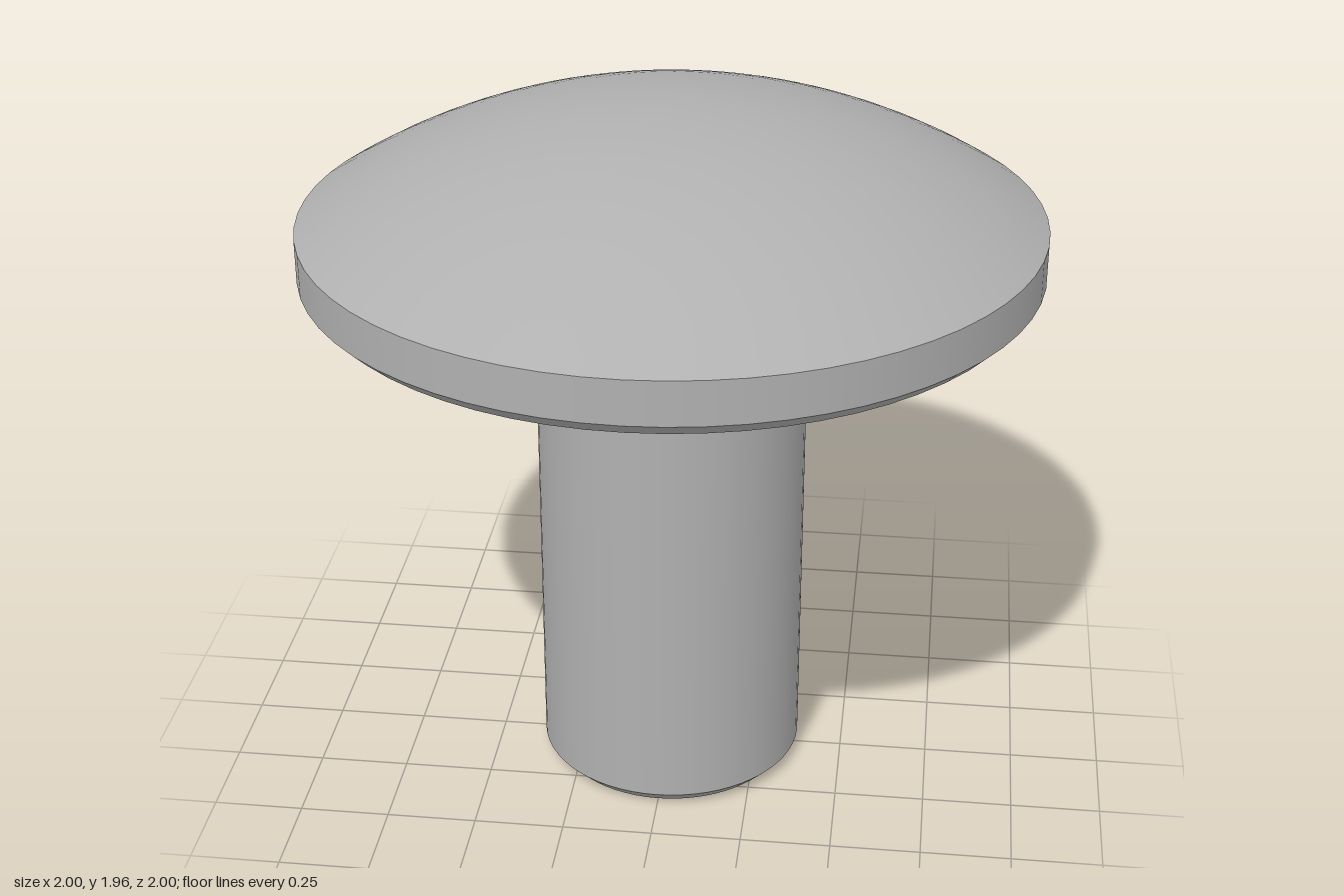
import * as THREE from 'three';

const SEGMENTS = 64;

export function createModel() {
  const group = new THREE.Group();
  const steel = new THREE.MeshStandardMaterial({ color: 0xb0b0b0 });
  steel.name = 'greySteel';

  const add = (name, geometry) => {
    const mesh = new THREE.Mesh(geometry, steel);
    mesh.name = name;
    group.add(mesh);
    return mesh;
  };
  // Each band is its own lathe, so the edges between bands stay sharp
  const band = (name, points) =>
    add(name, new THREE.LatheGeometry(points.map(([r, y]) => new THREE.Vector2(r, y)), SEGMENTS));

  // Shank
  const tipRadius = 0.333, shankRadius = 0.372;
  band('shankChamfer', [[tipRadius, 0], [shankRadius, 0.04]]);
  band('shank', [[shankRadius, 0.04], [shankRadius, 1.5]]);

  // Head
  band('headUnderside', [[shankRadius, 1.5], [0.962, 1.5]]);
  band('headChamfer', [[0.962, 1.5], [1, 1.537]]);
  band('headRim', [[1, 1.537], [1, 1.657]]);

  // Domed top: a spherical cap from the rim to the apex
  const rimY = 1.657, apexY = 1.96, rise = apexY - rimY;
  const sphereRadius = (1 + rise * rise) / (2 * rise);
  const capAngle = Math.asin(1 / sphereRadius);
  const dome = [];
  for (let i = 0; i <= 16; i++) {
    const a = capAngle * (1 - i / 16);
    dome.push([sphereRadius * Math.sin(a), apexY - sphereRadius * (1 - Math.cos(a))]);
  }
  band('headDome', dome);

  // Shank end with a cross-shaped driver recess
  const arm = 0.28, half = 0.085, depth = 0.3;
  const endShape = new THREE.Shape().absarc(0, 0, tipRadius, 0, Math.PI * 2, false);
  const cross = [];
  for (let i = 0; i < 4; i++) {
    for (const [x, y] of [[arm, -half], [arm, half], [half, half]]) {
      cross.push(new THREE.Vector2(x, y).rotateAround(new THREE.Vector2(), i * Math.PI / 2));
    }
  }
  endShape.holes.push(new THREE.Path(cross.reverse()));
  const end = new THREE.ExtrudeGeometry(endShape, {
    depth, bevelEnabled: false, curveSegments: SEGMENTS / 2,
  });
  end.rotateX(Math.PI / 2).translate(0, depth, 0);
  add('shankEnd', end);

  // Recess floor
  const floor = new THREE.CircleGeometry(tipRadius, SEGMENTS);
  floor.rotateX(Math.PI / 2).translate(0, depth, 0);
  add('recessFloor', floor);

  return group;
}
